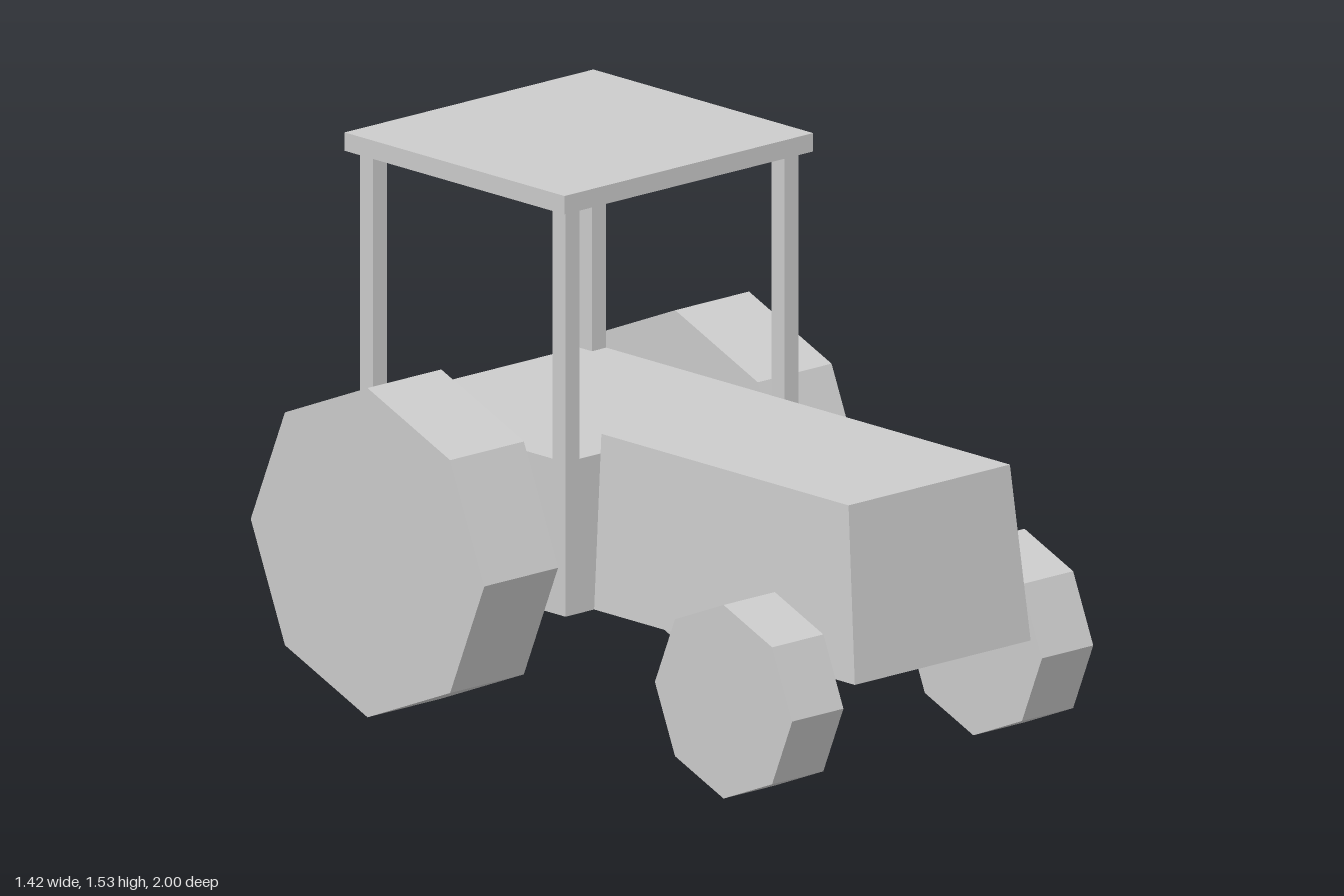
import * as THREE from 'three';

export function createModel() {
  const model = new THREE.Group();
  model.name = 'tractor';
  const grey = new THREE.MeshStandardMaterial({ color: 0xcccccc, flatShading: true });
  grey.name = 'plain grey';

  const add = (name, geometry, x, y, z) => {
    const mesh = new THREE.Mesh(geometry, grey);
    mesh.name = name;
    mesh.position.set(x, y, z);
    model.add(mesh);
  };

  // Box given by its lower and upper limits
  const addBox = (name, [x0, x1], [y0, y1], [z0, z1]) =>
    add(name, new THREE.BoxGeometry(x1 - x0, y1 - y0, z1 - z0),
      (x0 + x1) / 2, (y0 + y1) / 2, (z0 + z1) / 2);

  // Cab base and roof
  addBox('cabBase', [-0.435, 0.435], [0.333, 0.77], [-0.86, -0.04]);
  addBox('roof', [-0.464, 0.464], [1.483, 1.535], [-0.89, -0.013]);

  // Hood: sides and nose lean inwards towards the top
  const hood = new THREE.BoxGeometry(0.656, 0.492, 1.04);
  const p = hood.attributes.position;
  for (let i = 0; i < p.count; i++) {
    if (p.getY(i) > 0) {
      p.setX(i, Math.sign(p.getX(i)) * 0.301);
      if (p.getZ(i) > 0) p.setZ(i, p.getZ(i) - 0.054);
    }
  }
  hood.computeVertexNormals();
  add('hood', hood, 0, 0.579, 0.48);

  // Eight-sided wheel with its axle along x
  const addWheel = (name, radius, width, x, z) => {
    const geometry = new THREE.CylinderGeometry(radius, radius, width, 8);
    geometry.rotateZ(Math.PI / 2);
    add(name, geometry, x, radius, z);
  };

  // Mirrored posts and wheels
  for (const [side, s] of [['left', 1], ['right', -1]]) {
    const postX = s > 0 ? [0.382, 0.435] : [-0.435, -0.382];
    addBox(side + 'FrontPost', postX, [0.77, 1.483], [-0.092, -0.04]);
    addBox(side + 'RearPost', postX, [0.77, 1.483], [-0.86, -0.808]);
    addWheel(side + 'RearWheel', 0.466, 0.275, s * 0.574, -0.534);
    addWheel(side + 'FrontWheel', 0.274, 0.191, s * 0.466, 0.726);
  }
  return model;
}
